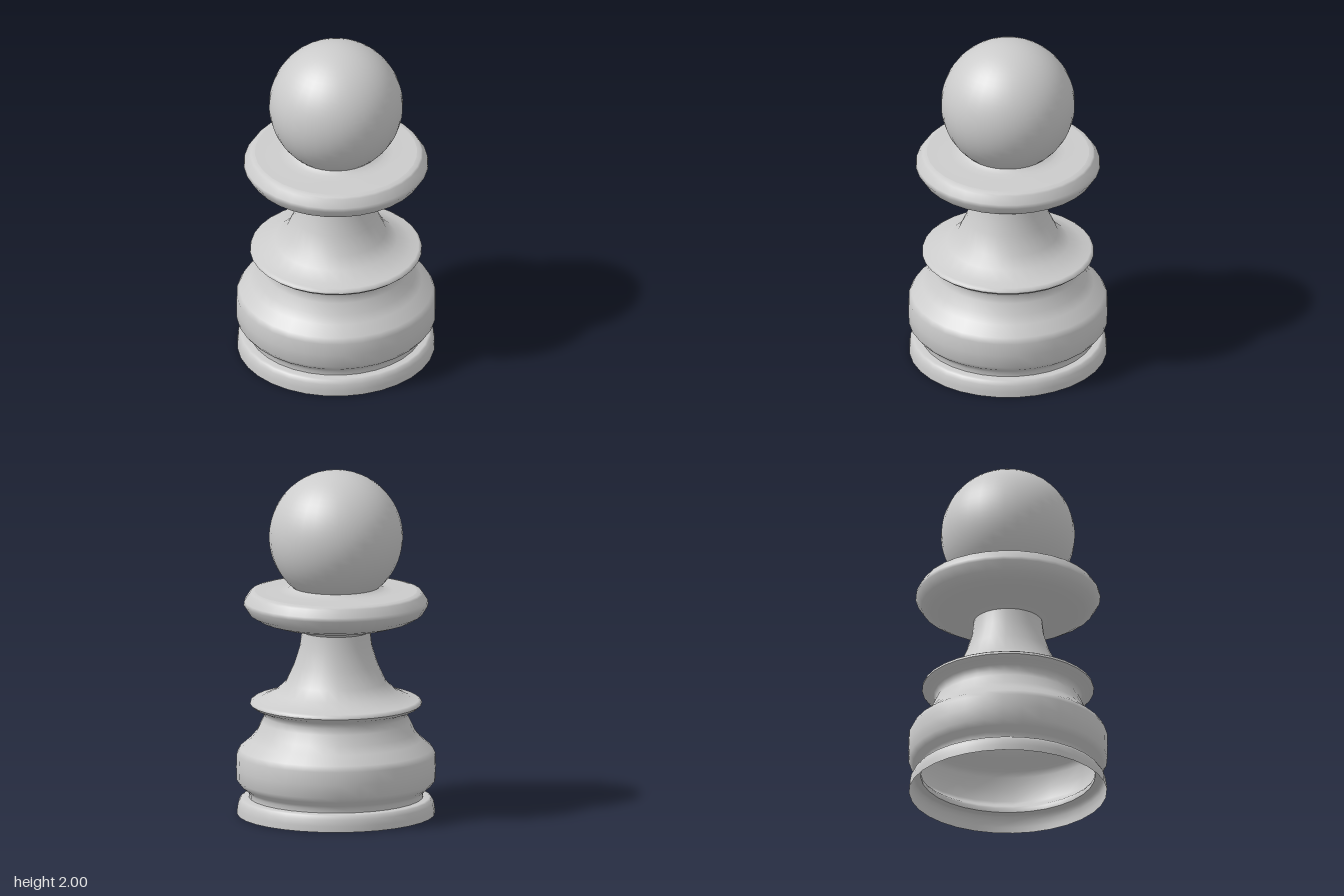
import * as THREE from 'three';

const SEGMENTS = 32;

export function createModel() {
  const group = new THREE.Group();
  const material = new THREE.MeshStandardMaterial({ color: 0xcccccc, side: THREE.DoubleSide });

  const add = (name, geometry) => {
    const mesh = new THREE.Mesh(geometry, material);
    mesh.name = name;
    group.add(mesh);
    return mesh;
  };
  // Turned part from a [radius, height] profile, listed bottom to top
  const turned = (name, profile) =>
    add(name, new THREE.LatheGeometry(profile.map(([r, y]) => new THREE.Vector2(r, y)), SEGMENTS));

  // Foot band, open underneath
  turned('footBand', [[0.567, 0], [0.566, 0.035], [0.56, 0.07], [0.547, 0.092], [0.535, 0.098], [0.5, 0.1]]);

  // Rounded base drum up to the thin ring
  turned('baseDrum', [
    [0.5, 0.1], [0.5, 0.125], [0.512, 0.142], [0.545, 0.168], [0.57, 0.2],
    [0.572, 0.275], [0.57, 0.35], [0.553, 0.383], [0.492, 0.435], [0.455, 0.48],
    [0.427, 0.54], [0.41, 0.575], [0.427, 0.605], [0.473, 0.625], [0.493, 0.643],
  ]);

  // Thin ring top and the flared stem
  turned('stem', [
    [0.493, 0.643], [0.49, 0.657], [0.475, 0.667], [0.43, 0.674], [0.35, 0.712],
    [0.288, 0.77], [0.24, 0.875], [0.207, 0.98], [0.197, 1.065],
  ]);

  // Wide collar
  turned('collar', [
    [0.197, 1.065], [0.24, 1.085], [0.36, 1.11], [0.44, 1.135], [0.497, 1.168],
    [0.53, 1.22], [0.526, 1.243], [0.499, 1.285], [0.49, 1.295], [0.465, 1.3],
  ]);

  // Collar top, sweeping up into the head
  turned('collarTop', [[0.465, 1.3], [0.33, 1.302], [0.285, 1.308], [0.262, 1.318], [0.25, 1.326]]);

  // Ball head, cut where it meets the collar
  const radius = 0.384;
  const cut = Math.PI - Math.asin(0.25 / radius);
  add('head', new THREE.SphereGeometry(radius, SEGMENTS, 24, 0, Math.PI * 2, 0, cut)).position.y = 2 - radius;

  return group;
}
